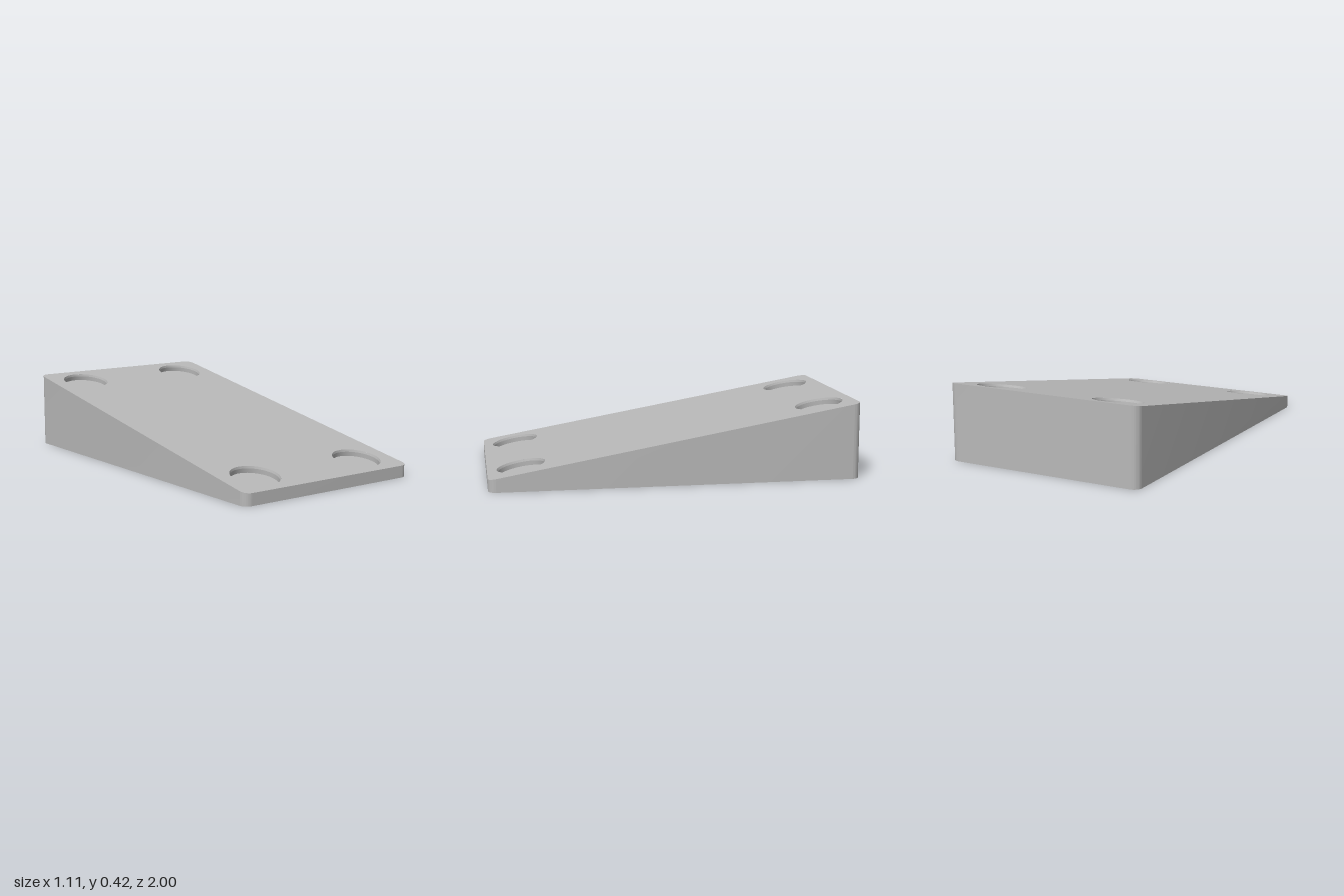
import * as THREE from 'three';
import { toCreasedNormals } from 'three/addons/utils/BufferGeometryUtils.js';

const HALF_W = 0.555, HALF_L = 1, CORNER = 0.045;
const FRONT_H = 0.065, BACK_H = 0.417;
const SLOPE = Math.atan((BACK_H - FRONT_H) / (2 * HALF_L));
const TOP_POCKET = { x: 0.348, z: 0.82, r: 0.131, depth: 0.036 };
const BASE_POCKET = { x: 0.41, z: 0.85, r: 0.071, depth: 0.015 };
const SEGMENTS = 48;

// Height of the sloping top at a given z
const heightAt = (z) => THREE.MathUtils.lerp(BACK_H, FRONT_H, (z + HALF_L) / (2 * HALF_L));

// Runs a function for the four mirrored corner positions
function atCorners({ x, z }, fn) {
  for (const sx of [-1, 1]) for (const sz of [-1, 1]) fn(sx * x, sz * z);
}

// Plan outline with rounded corners, counter-clockwise
function outline() {
  const s = new THREE.Shape();
  const cx = HALF_W - CORNER, cy = HALF_L - CORNER;
  [[1, 1], [-1, 1], [-1, -1], [1, -1]].forEach(([sx, sy], i) =>
    s.absarc(sx * cx, sy * cy, CORNER, i * Math.PI / 2, (i + 1) * Math.PI / 2, false));
  s.closePath();
  return s;
}

// Plan outline with an elliptical opening at each corner
function pierced(pocket, squash) {
  const s = outline();
  atCorners(pocket, (x, z) => {
    const hole = new THREE.Path();
    hole.absellipse(x, z, pocket.r, pocket.r * squash, 0, Math.PI * 2, true);
    s.holes.push(hole);
  });
  return new THREE.ShapeGeometry(s, SEGMENTS);
}

// Upright side band between the base and the sloping top
function wallGeometry() {
  const pts = outline().getPoints(12);
  const pos = [], idx = [];
  for (const p of pts) pos.push(p.x, 0, -p.y, p.x, heightAt(-p.y), -p.y);
  for (let i = 0; i < pts.length; i++) {
    const a = 2 * i, b = 2 * ((i + 1) % pts.length);
    idx.push(a, b, b + 1, a, b + 1, a + 1);
  }
  const g = new THREE.BufferGeometry();
  g.setAttribute('position', new THREE.Float32BufferAttribute(pos, 3));
  g.setIndex(idx);
  return toCreasedNormals(g, 0.5);
}

// Inward-facing blind recess: bevelled rim, wall and floor
function pocketGeometry({ r, depth }, bevel) {
  const profile = [[r, 0], [r - bevel, -bevel * 3], [r - bevel, -depth], [0, -depth]]
    .map(([x, y]) => new THREE.Vector2(x, y));
  return toCreasedNormals(new THREE.LatheGeometry(profile, SEGMENTS), 0.25);
}

export function createModel() {
  const group = new THREE.Group();
  group.name = 'wedge';
  const grey = new THREE.MeshStandardMaterial({ color: 0xb8b8b8 });
  grey.name = 'grey';

  const add = (name, geometry) => {
    const mesh = new THREE.Mesh(geometry, grey);
    mesh.name = name;
    group.add(mesh);
    return mesh;
  };

  add('sideWalls', wallGeometry());

  // Sloping top face
  const top = pierced(TOP_POCKET, Math.cos(SLOPE)).rotateX(-Math.PI / 2);
  const p = top.attributes.position;
  for (let i = 0; i < p.count; i++) p.setY(i, heightAt(p.getZ(i)));
  top.computeVertexNormals();
  add('topFace', top);

  // Flat base
  add('baseFace', pierced(BASE_POCKET, 1).rotateX(Math.PI / 2));

  // Large recesses square to the slope
  const topPocket = pocketGeometry(TOP_POCKET, 0.004);
  atCorners(TOP_POCKET, (x, z) => {
    const m = add('topRecess', topPocket);
    m.position.set(x, heightAt(z), z);
    m.rotation.x = SLOPE;
  });

  // Small shallow recesses under the base
  const basePocket = pocketGeometry(BASE_POCKET, 0);
  atCorners(BASE_POCKET, (x, z) => {
    const m = add('baseRecess', basePocket);
    m.position.set(x, 0, z);
    m.rotation.x = Math.PI;
  });

  return group;
}
